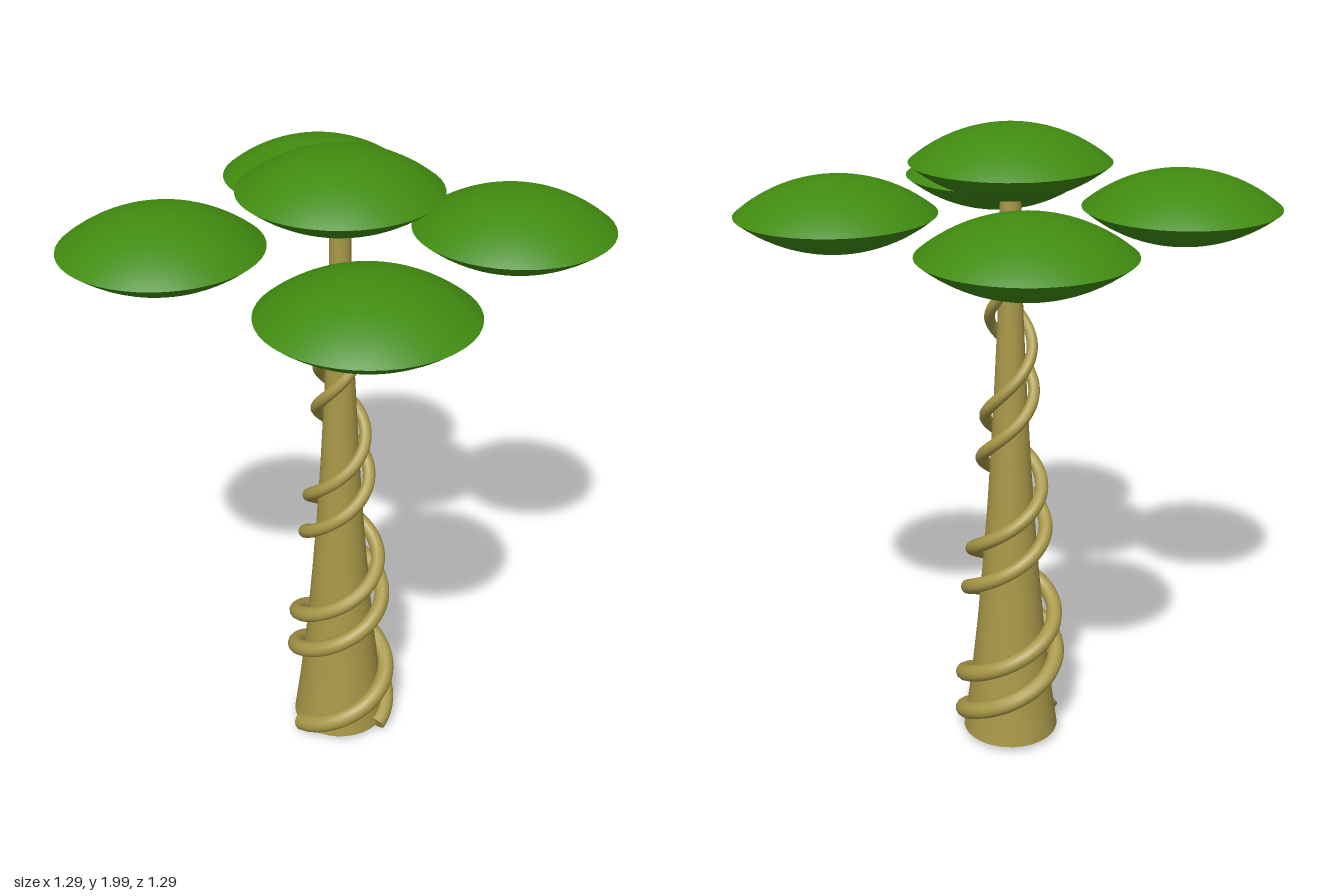
import * as THREE from 'three';

const bark = new THREE.MeshStandardMaterial({ color: 0xa89848 });
bark.name = 'bark';
const leaf = new THREE.MeshStandardMaterial({ color: 0x418c10 });
leaf.name = 'leafGreen';

function add(parent, geometry, material, name) {
  const mesh = new THREE.Mesh(geometry, material);
  mesh.name = name;
  parent.add(mesh);
  return mesh;
}

// Radius at height y, read from a list of [y, radius] points
function sample(table, y) {
  if (y <= table[0][0]) return table[0][1];
  for (let i = 1; i < table.length; i++) {
    const [y0, r0] = table[i - 1], [y1, r1] = table[i];
    if (y <= y1) return r0 + (r1 - r0) * (y - y0) / (y1 - y0);
  }
  return table[table.length - 1][1];
}

const vineOrbit = [[0.03, 0.152], [0.2, 0.152], [0.4, 0.143], [0.5, 0.138], [0.62, 0.126], [0.8, 0.105],
  [0.95, 0.092], [1.05, 0.082], [1.25, 0.068], [1.4, 0.063], [1.62, 0.058]];

// Tapered vine that winds three and a half turns up the trunk
function vine(startAngle) {
  const group = new THREE.Group();
  const points = [];
  for (let i = 0; i <= 112; i++) {
    const t = i / 112, y = 0.035 + 1.575 * t;
    const a = startAngle - t * 7 * Math.PI, r = sample(vineOrbit, y);
    points.push(new THREE.Vector3(r * Math.cos(a), y, r * Math.sin(a)));
  }
  const curve = new THREE.CatmullRomCurve3(points);
  curve.arcLengthDivisions = 1000;
  const rings = 200, sides = 12;
  const radius = (t) => 0.03 - 0.015 * t;
  const tube = new THREE.TubeGeometry(curve, rings, 1, sides, false);
  const pos = tube.attributes.position, p = new THREE.Vector3();
  for (let i = 0; i <= rings; i++) {
    const c = curve.getPointAt(i / rings);
    for (let j = 0; j <= sides; j++) {
      const k = i * (sides + 1) + j;
      p.fromBufferAttribute(pos, k).sub(c).multiplyScalar(radius(i / rings)).add(c);
      pos.setXYZ(k, p.x, p.y, p.z);
    }
  }
  add(group, tube, bark, 'vineStem');
  // Flat cut ends
  for (const t of [0, 1]) {
    const cap = add(group, new THREE.CircleGeometry(radius(t), sides), bark, 'vineEnd');
    cap.position.copy(curve.getPointAt(t));
    const out = curve.getTangentAt(t).multiplyScalar(t ? 1 : -1);
    cap.quaternion.setFromUnitVectors(new THREE.Vector3(0, 0, 1), out);
  }
  return group;
}

// Lens-shaped leaf pad made of two shallow sphere caps
function leafPad(x, y, z) {
  const group = new THREE.Group();
  const rim = 0.291, rise = 0.105;
  const R = (rim * rim + rise * rise) / (2 * rise);
  const cap = new THREE.SphereGeometry(R, 48, 12, 0, Math.PI * 2, 0, Math.asin(rim / R));
  cap.translate(0, rise - R, 0);
  add(group, cap, leaf, 'padTop');
  add(group, cap, leaf, 'padUnderside').rotation.x = Math.PI;
  group.position.set(x, y, z);
  return group;
}

export function createModel() {
  const model = new THREE.Group();
  model.name = 'tree';

  // Flared trunk with closed base
  const profile = [[0.153, 0.03], [0.13, 0.2], [0.108, 0.4], [0.09, 0.6], [0.074, 0.8], [0.061, 1],
    [0.05, 1.2], [0.04, 1.4], [0.033, 1.6], [0.03, 1.85]].map(([r, y]) => new THREE.Vector2(r, y));
  add(model, new THREE.LatheGeometry(profile, 32), bark, 'trunk');
  const base = add(model, new THREE.CircleGeometry(0.153, 32), bark, 'trunkBase');
  base.rotation.x = Math.PI / 2;
  base.position.y = 0.03;

  // Two climbing vines
  [0, 110].forEach((deg, i) => {
    const v = vine(THREE.MathUtils.degToRad(deg));
    v.name = i ? 'secondVine' : 'firstVine';
    model.add(v);
  });

  // Canopy: one raised centre pad and four around it
  const crown = leafPad(0, 1.895, 0);
  crown.name = 'centrePad';
  model.add(crown);
  for (const x of [-0.352, 0.352]) {
    for (const z of [-0.352, 0.352]) {
      const pad = leafPad(x, 1.754, z);
      pad.name = (z > 0 ? 'front' : 'back') + (x > 0 ? 'Left' : 'Right') + 'Pad';
      model.add(pad);
    }
  }
  return model;
}
